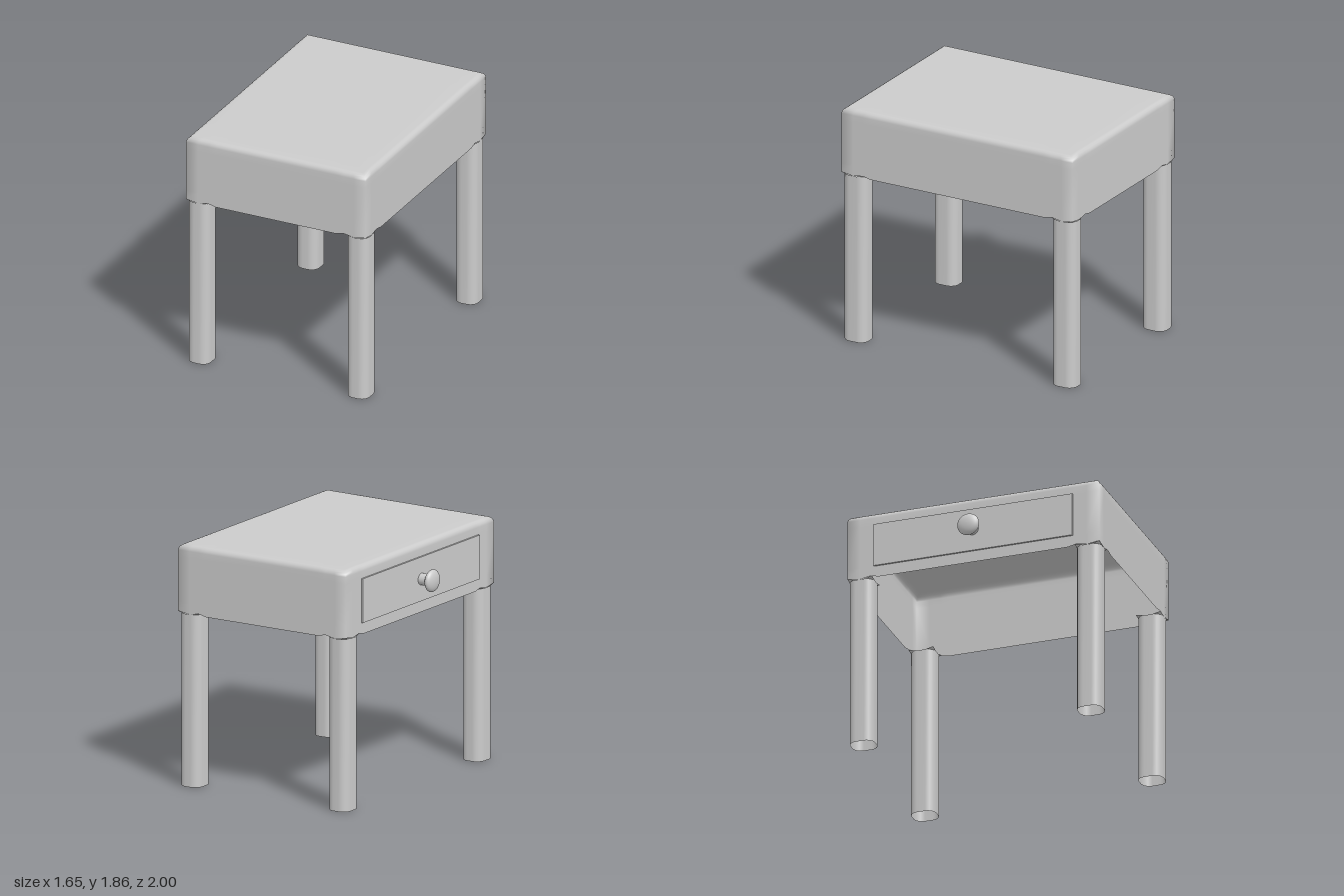
import * as THREE from 'three';

const smooth = new THREE.MeshStandardMaterial({ color: 0xcccccc, side: THREE.DoubleSide });
const flat = new THREE.MeshStandardMaterial({ color: 0xcccccc, side: THREE.DoubleSide, flatShading: true });

// Joins rings of [x, y, z] points, bottom to top; optionally caps the last ring.
function loft(rings, { cap = false, skip = () => false } = {}) {
  const n = rings[0].length;
  const pos = rings.flat(2);
  const index = [];
  for (let r = 0; r < rings.length - 1; r++) {
    for (let i = 0; i < n; i++) {
      if (skip(r, i)) continue;
      const a = r * n + i, b = r * n + (i + 1) % n;
      index.push(a, b, b + n, a, b + n, a + n);
    }
  }
  if (cap) {
    const last = rings[rings.length - 1];
    const c = [0, 1, 2].map(k => last.reduce((sum, p) => sum + p[k], 0) / n);
    const base = (rings.length - 1) * n, centre = pos.length / 3;
    pos.push(...c);
    for (let i = 0; i < n; i++) index.push(base + i, base + (i + 1) % n, centre);
  }
  const g = new THREE.BufferGeometry();
  g.setAttribute('position', new THREE.Float32BufferAttribute(pos, 3));
  g.setIndex(index);
  g.computeVertexNormals();
  return g;
}

function part(name, geometry, material = smooth) {
  const m = new THREE.Mesh(geometry, material);
  m.name = name;
  return m;
}

const HX = 0.75, HZ = 1, LEG_TOP = 1.33, TOP = 1.86, LIFT = 0.015;

// Rectangular outline of the body; the bottom edge lifts beside each leg.
function bodyRing(y, inset = 0, bottom = false) {
  const offsets = [0, 0.1, 0.185, 0.21, 0.25];
  const lifts = [1, 0, 1, 0.6, 0];
  const corners = [[HX, HZ], [HX, -HZ], [-HX, -HZ], [-HX, HZ]];
  const sx = (HX - inset) / HX, sz = (HZ - inset) / HZ;
  const ring = [];
  corners.forEach(([x0, z0], s) => {
    const [x1, z1] = corners[(s + 1) % 4];
    const len = Math.hypot(x1 - x0, z1 - z0);
    for (let k = 0; k < 9; k++) {
      const j = k < 5 ? k : 9 - k;
      const t = (k < 5 ? offsets[j] : len - offsets[j]) / len;
      ring.push([(x0 + (x1 - x0) * t) * sx, y + (bottom ? LIFT * lifts[j] : 0), (z0 + (z1 - z0) * t) * sz]);
    }
  });
  return ring;
}

// Hollow body, open below, with a drawer opening in its -x wall
function makeBody() {
  const r = 0.045;
  const rings = [bodyRing(LEG_TOP, 0, true), bodyRing(1.42), bodyRing(1.76)];
  for (let i = 0; i <= 4; i++) {
    const a = i * Math.PI / 8;
    rings.push(bodyRing(TOP - r + r * Math.sin(a), r * (1 - Math.cos(a))));
  }
  rings.push(bodyRing(TOP, 0.15));
  return loft(rings, { cap: true, skip: (row, i) => row === 1 && i >= 21 && i <= 23 });
}

// Rounded-square leg tube whose collar spreads to a sharp square
function makeLeg() {
  const hx = 0.0875, hz = 0.0975, r = 0.066, steps = 6;
  const ring = (y, sharp) => {
    const pts = [];
    for (let q = 0; q < 4; q++) {
      for (let k = 0; k <= steps; k++) {
        const a = (q + k / steps) * Math.PI / 2;
        const c = Math.cos(a), s = -Math.sin(a);
        const big = Math.max(Math.abs(c), Math.abs(s)), small = Math.min(Math.abs(c), Math.abs(s));
        const d = sharp ? r / big : r;
        const cx = (q === 0 || q === 3 ? 1 : -1) * (hx - r), cz = (q < 2 ? -1 : 1) * (hz - r);
        pts.push([cx + c * d, y + (sharp ? LIFT * small / big : 0), cz + s * d]);
      }
    }
    return pts;
  };
  const tube = loft([ring(0, false), ring(LEG_TOP, false)]);
  const collar = loft([ring(LEG_TOP, false), ring(LEG_TOP, true)]);
  return { tube, collar, hx, hz };
}

// Shallow drawer front, open towards the inside
function makeDrawerFront() {
  const ring = y => [[0.17, y, 0.79], [0.17, y, -0.79], [-0.17, y, -0.79], [-0.17, y, 0.79]];
  return loft([ring(0), ring(0.014)], { cap: true });
}

// Knob: straight stem and flattened round head
function makeKnob() {
  const pts = [new THREE.Vector2(0.045, 0), new THREE.Vector2(0.045, 0.068)];
  for (let i = 0; i <= 14; i++) {
    const a = -1.0 + (1.0 + Math.PI / 2) * i / 14;
    pts.push(new THREE.Vector2(Math.max(0, 0.086 * Math.cos(a)), 0.097 + 0.039 * Math.sin(a)));
  }
  return new THREE.LatheGeometry(pts, 32);
}

export function createModel() {
  const model = new THREE.Group();
  model.name = 'bedsideTable';
  const cx = 0.073;

  const body = part('body', makeBody());
  body.position.x = cx;
  model.add(body);

  const { tube, collar, hx, hz } = makeLeg();
  for (const sx of [-1, 1]) {
    for (const sz of [-1, 1]) {
      const leg = new THREE.Group();
      leg.name = `${sz > 0 ? 'front' : 'back'}${sx > 0 ? 'Left' : 'Right'}Leg`;
      leg.add(part('legTube', tube), part('legCollar', collar, flat));
      leg.position.set(cx + sx * (HX - hx), 0, sz * (HZ - hz));
      model.add(leg);
    }
  }

  // Drawer faces -x
  const drawer = new THREE.Group();
  drawer.name = 'drawer';
  const knob = part('knob', makeKnob());
  knob.position.y = 0.014;
  drawer.add(part('drawerFront', makeDrawerFront(), flat), knob);
  drawer.rotation.z = Math.PI / 2;
  drawer.position.set(cx - HX, 1.59, 0);
  model.add(drawer);

  return model;
}
